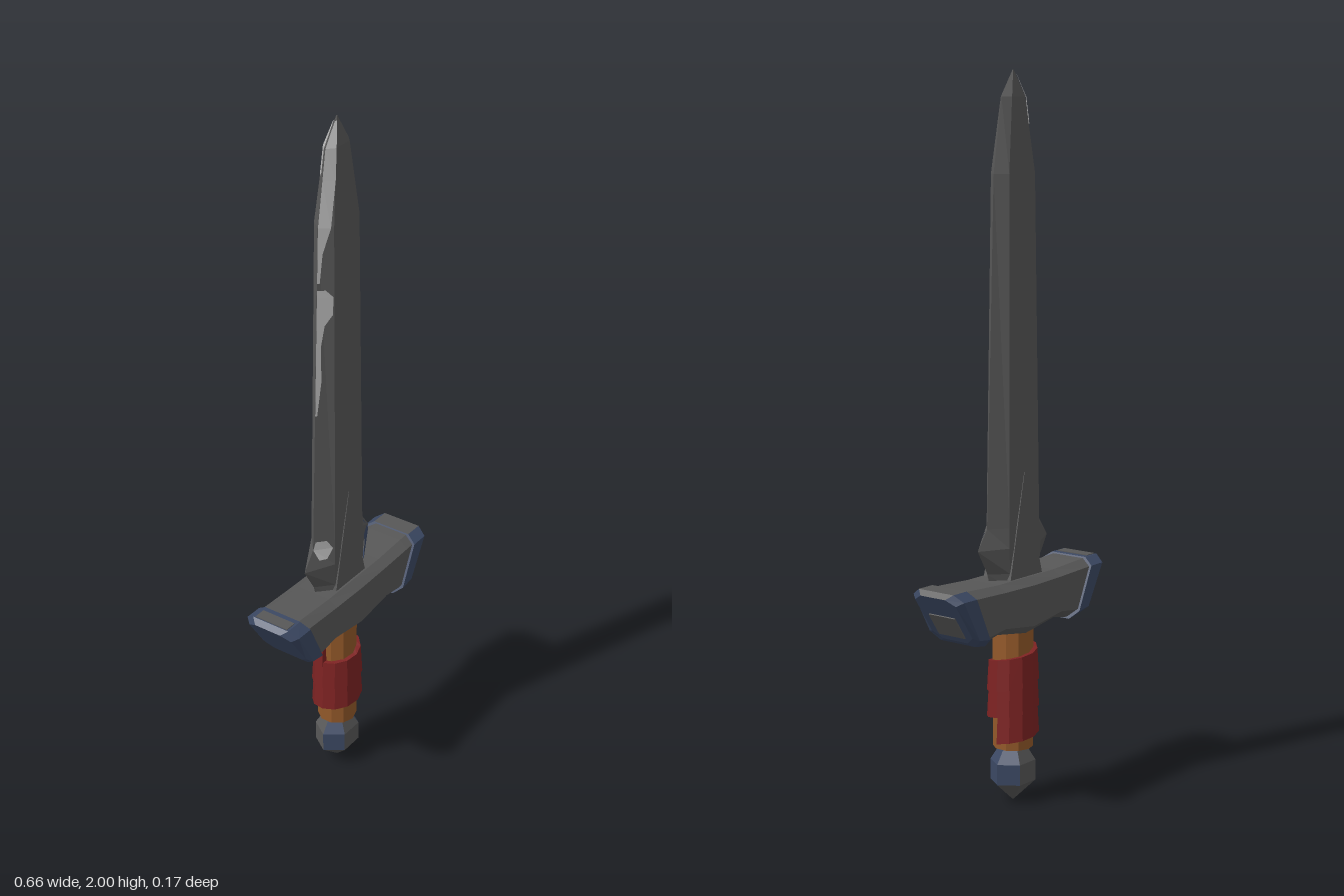
import * as THREE from 'three';

const CX = -0.008; // blade and grip axis
const V = (x, y, z) => new THREE.Vector3(x, y, z);
const mat = (name, color, side = THREE.FrontSide) => {
  const m = new THREE.MeshStandardMaterial({ color, side });
  m.name = name;
  return m;
};

// Faceted solid through closed rings; pick(ring, side) gives a material index
function loft(rings, pick) {
  const tris = [], ids = [], n = rings[0].length;
  const add = (id, ...p) => { tris.push(p); ids.push(id); };
  for (let i = 0; i < rings.length - 1; i++) {
    for (let j = 0; j < n; j++) {
      const k = (j + 1) % n, a = rings[i], b = rings[i + 1], id = pick ? pick(i, j) : 0;
      add(id, a[j], a[k], b[k]);
      add(id, a[j], b[k], b[j]);
    }
  }
  const first = rings[0], last = rings[rings.length - 1];
  for (let j = 1; j < n - 1; j++) {
    add(0, first[0], first[j + 1], first[j]);
    add(0, last[0], last[j], last[j + 1]);
  }
  // turn all faces outward
  const volume = tris.reduce((s, [a, b, c]) => s + a.dot(b.clone().cross(c)), 0);
  if (volume < 0) tris.forEach(t => t.reverse());
  const g = new THREE.BufferGeometry().setFromPoints(tris.flat());
  g.computeVertexNormals();
  if (pick) ids.forEach((id, i) => g.addGroup(i * 3, 3, id));
  return g;
}

export function createModel() {
  const model = new THREE.Group();
  model.name = 'dagger';
  const steel = mat('darkSteel', 0x575757);
  const worn = mat('wornEdge', 0xb2b2b2, THREE.DoubleSide);
  const blue = mat('blueSteel', 0x3b4863, THREE.DoubleSide);
  const red = mat('redWrap', 0x7c2222);
  const wood = mat('wood', 0x93592a);
  const add = (name, geometry, material) => {
    const m = new THREE.Mesh(geometry, material);
    m.name = name;
    model.add(m);
    return m;
  };

  // Blade: y, half width, shoulder half width, half thickness
  const stations = [
    [0.62, 0.1, 0.06, 0.04], [0.66, 0.11, 0.065, 0.041], [0.73, 0.152, 0.068, 0.042],
    [0.785, 0.112, 0.065, 0.04], [1.73, 0.082, 0.055, 0.031],
    [1.93, 0.049, 0.028, 0.019], [2, 0.002, 0.001, 0.001],
  ];
  add('blade', loft(stations.map(([y, w, s, d]) =>
    [[w, 0], [s, d], [-s, d], [-w, 0], [-s, -d], [s, -d]].map(([x, z]) => V(CX + x, y, z)))), steel);

  // Thin painted patches on the blade bevels; rows are [y, from, to], edge = 0, shoulder = 1
  function bevelPatch(name, sx, sz, rows, material) {
    const point = (y, t) => {
      const i = Math.max(1, stations.findIndex(s => s[0] >= y));
      const a = stations[i - 1], b = stations[i], f = (y - a[0]) / (b[0] - a[0]);
      const [w, s, d] = [1, 2, 3].map(k => THREE.MathUtils.lerp(a[k], b[k], f));
      return V(CX + sx * (THREE.MathUtils.lerp(w, s, t) + 0.002), y, sz * (d * t + 0.002));
    };
    const pts = [];
    for (let i = 0; i < rows.length - 1; i++) {
      const [y0, a0, b0] = rows[i], [y1, a1, b1] = rows[i + 1];
      const q = [point(y0, a0), point(y0, b0), point(y1, b1), point(y1, a1)];
      const tri = [q[0], q[1], q[2], q[0], q[2], q[3]];
      pts.push(...(sx * sz < 0 ? tri.reverse() : tri));
    }
    const g = new THREE.BufferGeometry().setFromPoints(pts);
    g.computeVertexNormals();
    add(name, g, material);
  }
  bevelPatch('wornTip', -1, 1, [[1.99, 0, 1], [1.93, 0, 1], [1.85, 0, 1], [1.73, 0, 0.8],
    [1.66, 0, 0.3], [1.58, 0, 0.15]], worn);
  bevelPatch('wornMiddle', -1, 1, [[1.56, 0, 0.5], [1.54, 0, 0.95], [1.49, 0, 0.9],
    [1.46, 0, 0.45], [1.4, 0, 0.25], [1.3, 0, 0.3], [1.2, 0, 0.1]], worn);
  bevelPatch('wornBase', -1, 1, [[0.81, 0.1, 0.6], [0.785, 0, 0.9], [0.755, 0.4, 0.7]], worn);
  bevelPatch('wornBackTip', -1, -1, [[1.99, 0, 1], [1.93, 0.1, 0.9], [1.86, 0.2, 0.7]], worn);
  bevelPatch('bluePatch', 1, 1, [[0.775, 0.3, 0.9], [0.73, 0.2, 1], [0.67, 0.5, 1]], blue);

  // Pointed reinforcement at the blade root
  add('bladeRoot', loft([-0.047, 0.047].map(z =>
    [V(CX - 0.072, 0.63, z), V(CX + 0.072, 0.63, z), V(CX, 0.93, z * 0.85)])), steel);

  // Crossguard: station = top x, top y, bottom x, bottom y, half depth
  const guardRing = ([xt, yt, xb, yb, hz]) => {
    const at = (f, z) => V(xt + (xb - xt) * f, yt + (yb - yt) * f, z), i = hz - 0.028;
    return [at(0, i), at(0.12, hz), at(0.85, hz), at(1, i),
      at(1, -i), at(0.85, -hz), at(0.12, -hz), at(0, -i)];
  };
  add('crossguard', loft([
    [-0.29, 0.65, -0.21, 0.497, 0.08], [-0.23, 0.648, -0.18, 0.495, 0.08],
    [-0.12, 0.642, -0.125, 0.506, 0.08], [0, 0.642, 0, 0.486, 0.08],
    [0.12, 0.642, 0.125, 0.506, 0.08], [0.23, 0.648, 0.18, 0.495, 0.08],
    [0.29, 0.65, 0.21, 0.497, 0.08],
  ].map(guardRing)), steel);

  // Guard caps, mirrored; the +x cap has a bare steel top
  for (const s of [-1, 1]) {
    const rings = [
      [0.262, 0.653, 0.186, 0.489, 0.087], [0.316, 0.653, 0.228, 0.496, 0.087],
      [0.33, 0.64, 0.238, 0.505, 0.07],
    ].map(([xt, yt, xb, yb, hz]) => guardRing([s * xt, yt, s * xb, yb, hz]));
    add(s > 0 ? 'leftGuardCap' : 'rightGuardCap',
      loft(rings, (i, j) => (j === 7 && s > 0 ? 1 : 0)), [blue, steel]);
  }
  add('capTopPlate', new THREE.BoxGeometry(0.035, 0.006, 0.105), steel).position.set(-0.296, 0.652, 0);
  const endPlate = add('capEndPlate', new THREE.BoxGeometry(0.075, 0.006, 0.09), steel);
  endPlate.position.set(0.271, 0.553, 0);
  endPlate.rotation.z = Math.atan2(0.135, 0.092);

  // Grip
  add('grip', new THREE.CylinderGeometry(0.056, 0.056, 0.36, 10).toNonIndexed(), wood)
    .position.set(CX, 0.335, 0);
  model.getObjectByName('grip').geometry.computeVertexNormals();

  // Spiral wrap: overlapping ribbon rising from the model's left
  const wrap = [], perTurn = 12, turns = 2.5, pitch = 0.075;
  for (let i = 0; i <= perTurn * turns; i++) {
    const t = i / perTurn, a = t * Math.PI * 2, y = 0.175 + pitch * t;
    wrap.push([[0.05, 0], [0.073, 0], [0.068, 0.086], [0.05, 0.086]].map(([r, h]) =>
      V(CX + r * Math.cos(a), y + h, -r * Math.sin(a))));
  }
  add('gripWrap', loft(wrap), red);

  // Six-sided pommel with some blue facets
  const pommel = [[0, 0.003], [0.057, 0.07], [0.115, 0.07], [0.15, 0.045], [0.17, 0.045]]
    .map(([y, r]) => Array.from({ length: 6 }, (_, k) => {
      const a = k * Math.PI / 3;
      return V(CX + r * Math.cos(a), y, 0.86 * r * Math.sin(a));
    }));
  add('pommel', loft(pommel, (i, j) => (i > 0 && [0, 2, 5].includes(j) ? 1 : 0)), [steel, blue]);

  return model;
}
